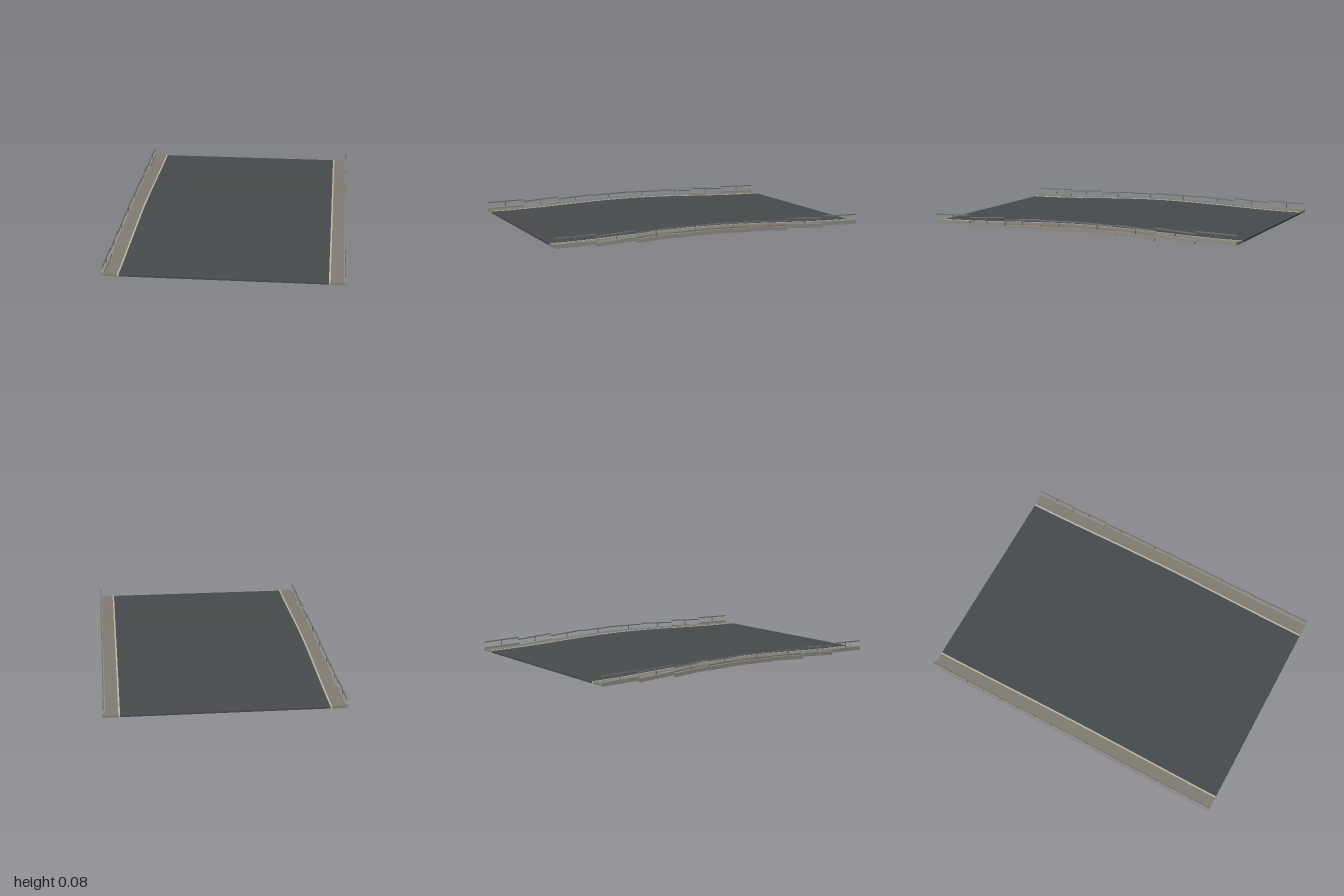
import * as THREE from 'three';

const paint = (color, side = THREE.FrontSide) => new THREE.MeshStandardMaterial({ color, side });
const asphalt = paint(0x484b4d), paving = paint(0x827d72), kerbStone = paint(0xbab5a8);
const concrete = paint(0x8f8c84), steel = paint(0x6f7377);

// Smooth hump of the roadway: 0 at both ends, 1 at mid span
const hump = z => (1 + Math.cos(Math.PI * z)) / 2;
const RISE = 0.028;

// Box running the full length, bent to follow the hump
function strip(name, x0, x1, bottom, top, material) {
  const g = new THREE.BoxGeometry(x1 - x0, top - bottom, 2, 1, 1, 40);
  g.translate((x0 + x1) / 2, (bottom + top) / 2, 0);
  const p = g.attributes.position;
  for (let i = 0; i < p.count; i++) p.setY(i, p.getY(i) + RISE * hump(p.getZ(i)));
  g.computeVertexNormals();
  const m = new THREE.Mesh(g, material);
  m.name = name;
  return m;
}

function box(name, w, h, d, x, y, z, material) {
  const m = new THREE.Mesh(new THREE.BoxGeometry(w, h, d), material);
  m.position.set(x, y, z);
  m.name = name;
  return m;
}

export function createModel() {
  const model = new THREE.Group();
  model.name = 'bridgeDeck';
  model.add(strip('roadway', -0.606, 0.606, 0.009, 0.019, asphalt));

  // Edge segments from the span end to the middle: centre height and half of the end-to-end climb
  const heights = [0.022, 0.02, 0.021, 0.027];
  const climbs = [0.003, 0.008, 0.008, 0.003];

  for (const side of [-1, 1]) {
    const mirrored = (name, a, b, lo, hi, mat) =>
      model.add(strip(name, Math.min(side * a, side * b), Math.max(side * a, side * b), lo, hi, mat));
    mirrored('kerb', 0.606, 0.616, 0.009, 0.022, kerbStone);
    mirrored('walkway', 0.616, 0.692, 0.009, 0.021, paving);

    // Tilted edge beams, each with its post and handrail
    for (const end of [-1, 1]) {
      for (let i = 0; i < 4; i++) {
        const segment = new THREE.Group();
        segment.name = 'edgeSegment';
        segment.position.set(side * 0.7, heights[i], end * (0.875 - i * 0.25));
        segment.rotation.x = end * Math.atan(climbs[i] / 0.125);
        segment.add(
          box('edgeBeam', 0.018, 0.024, 0.25, 0, 0, 0, concrete),
          box('beamLip', 0.02, 0.006, 0.25, 0, 0.009, 0, concrete),
          box('post', 0.005, 0.036, 0.005, 0, 0.028, 0, steel),
          box('handrail', 0.007, 0.007, 0.25, 0, 0.046, 0, steel)
        );
        model.add(segment);
      }
    }
  }
  return model;
}
